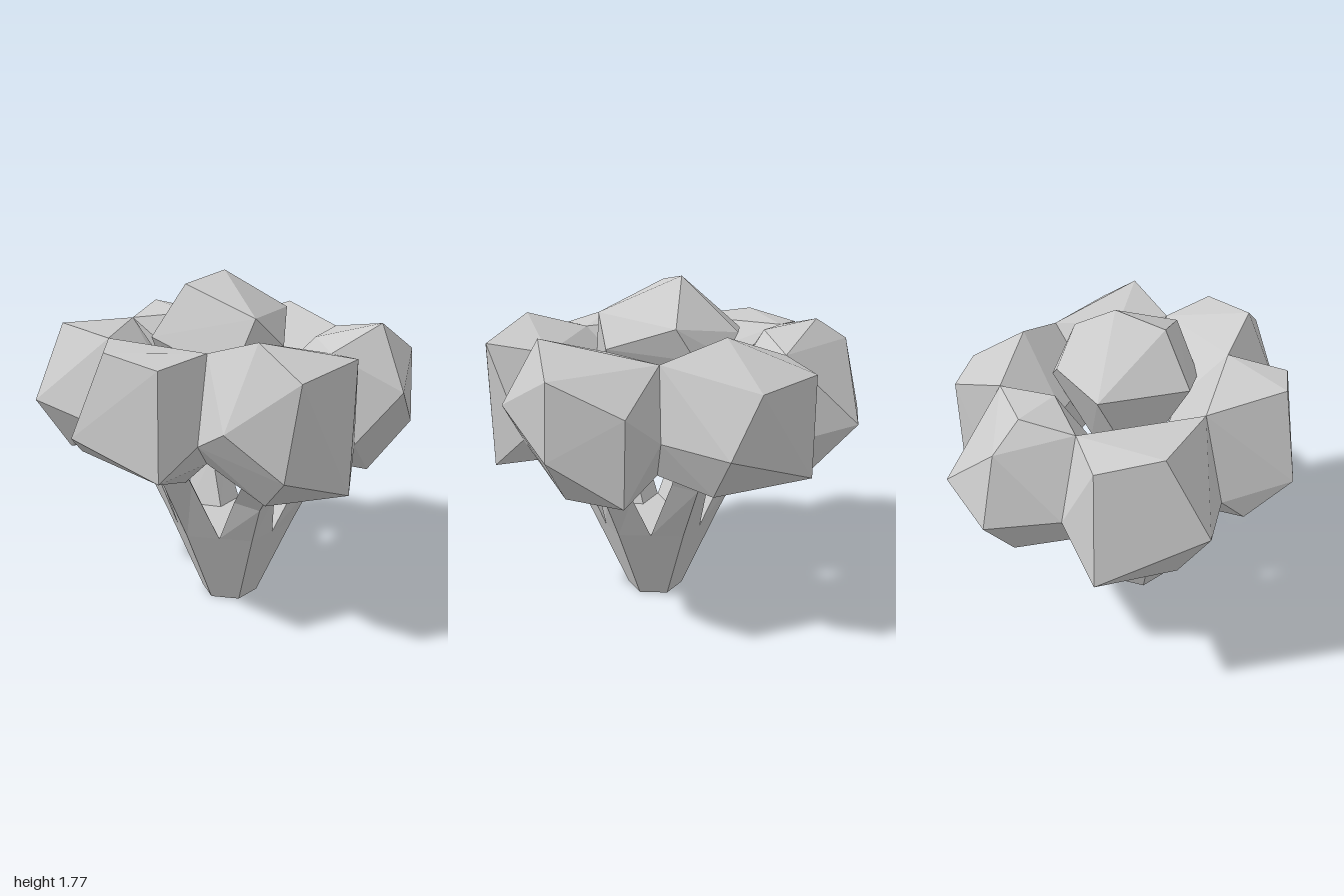
import * as THREE from 'three';
import { ConvexGeometry } from 'three/addons/geometries/ConvexGeometry.js';

const material = new THREE.MeshStandardMaterial({ color: 0xcccccc, flatShading: true });
const V = (x, y, z) => new THREE.Vector3(x, y, z);
const UP = V(0, 1, 0);

function hull(name, points) {
  const mesh = new THREE.Mesh(new ConvexGeometry(points), material);
  mesh.name = name;
  return mesh;
}

// Loft between equal-length rings (counter-clockwise seen from above), closed by fans at both ends
function loft(name, rings) {
  const pos = [];
  const tri = (...pts) => pts.forEach((p) => pos.push(p.x, p.y, p.z));
  const n = rings[0].length;
  for (let k = 0; k < rings.length - 1; k++) {
    for (let i = 0; i < n; i++) {
      const j = (i + 1) % n, a = rings[k], b = rings[k + 1];
      tri(a[i], a[j], b[j]);
      tri(a[i], b[j], b[i]);
    }
  }
  const last = rings[rings.length - 1];
  for (let i = 1; i < n - 1; i++) {
    tri(rings[0][0], rings[0][i + 1], rings[0][i]);
    tri(last[0], last[i], last[i + 1]);
  }
  const geometry = new THREE.BufferGeometry();
  geometry.setAttribute('position', new THREE.Float32BufferAttribute(pos, 3));
  geometry.computeVertexNormals();
  const mesh = new THREE.Mesh(geometry, material);
  mesh.name = name;
  return mesh;
}

// Seams shared by neighbouring florets: top, side and lower point
const seams = [
  [V(0.31, 1.45, 0.46), V(0.40, 1.05, 0.63), V(0.34, 0.92, 0.50)],
  [V(0.70, 1.43, 0), V(0.85, 1.0, 0), V(0.72, 0.88, 0)],
  [V(0.36, 1.45, -0.55), V(0.40, 1.1, -0.64), V(0.36, 0.90, -0.52)],
  [V(-0.34, 1.42, -0.55), V(-0.41, 1.0, -0.64), V(-0.36, 0.88, -0.55)],
  [V(-0.68, 1.45, 0), V(-0.88, 1.1, 0), V(-0.72, 0.88, 0)],
  [V(-0.32, 1.45, 0.51), V(-0.39, 1.02, 0.63), V(-0.33, 0.92, 0.52)],
];

// Outer corners of each floret; floret i lies between seam i - 1 and seam i
const florets = [
  ['frontFloret', [
    V(0, 1.47, 0.83), V(-0.14, 1.05, 0.93), V(0.33, 0.90, 0.82), V(0.30, 1.42, 0.78),
    V(-0.31, 0.90, 0.73), V(0.2, 0.79, 0.5), V(-0.15, 0.84, 0.5)]],
  ['frontLeftFloret', [
    V(0.64, 1.55, 0.49), V(0.60, 1.16, 0.68), V(0.88, 1.40, 0.49), V(0.96, 1.47, 0.18),
    V(0.84, 0.95, 0.55), V(0.66, 0.77, 0.45), V(0.95, 0.82, 0.19)]],
  ['backLeftFloret', [
    V(0.83, 1.56, -0.24), V(1.0, 1.25, -0.18), V(0.88, 1.41, -0.46), V(0.59, 1.25, -0.67),
    V(0.60, 0.82, -0.66), V(0.90, 1.03, -0.46), V(0.75, 0.77, -0.3), V(0.46, 1.45, -0.21)]],
  ['backFloret', [
    V(0.02, 1.55, -0.58), V(0.02, 1.35, -0.90), V(0.20, 1.07, -0.93), V(-0.34, 1.38, -0.81),
    V(-0.34, 0.86, -0.81), V(0.20, 0.85, -0.78), V(0, 0.77, -0.56)]],
  ['backRightFloret', [
    V(-0.74, 1.52, -0.25), V(-0.90, 1.41, -0.31), V(-0.97, 1.03, -0.36), V(-0.70, 1.05, -0.70),
    V(-0.43, 1.48, -0.21), V(-0.80, 0.80, -0.30), V(-0.48, 0.80, -0.60)]],
  ['frontRightFloret', [
    V(-1.0, 0.87, 0.20), V(-0.76, 1.47, 0.45), V(-0.75, 1.08, 0.67), V(-0.90, 1.42, 0.17),
    V(-0.68, 0.79, 0.50), V(-0.42, 0.84, 0.35), V(-0.8, 0.8, 0.15)]],
];

export function createModel() {
  const model = new THREE.Group();

  // Ring of florets; inner corners are pulled in from the seams, and the two side seams gape open
  florets.forEach(([name, corners], i) => {
    const points = [...corners];
    for (const [k, sign] of [[(i + 5) % 6, 1], [i, -1]]) {
      const [top, , low] = seams[k];
      const turn = sign * (k % 3 === 1 ? 0.18 : 0);
      points.push(...seams[k]);
      points.push(V(top.x * 0.53, 1.23, top.z * 0.53).applyAxisAngle(UP, turn));
      points.push(V(low.x * 0.55, 0.97, low.z * 0.55).applyAxisAngle(UP, turn));
    }
    model.add(hull(name, points));
  });

  // Raised floret in the middle
  model.add(hull('centreFloret', [
    V(-0.02, 1.77, -0.05), V(-0.05, 1.72, 0.22), V(0.36, 1.58, 0.16), V(0.17, 1.56, -0.35),
    V(-0.14, 1.46, 0.38), V(-0.22, 1.5, -0.29), V(-0.41, 1.46, 0), V(0.40, 1.42, -0.02),
    V(0.32, 1.3, 0.3), V(0.08, 1.4, -0.39), V(-0.1, 1.4, -0.37),
    V(0.2, 1.0, 0.1), V(-0.2, 1.0, 0.12), V(0, 1.0, -0.2),
  ]));

  // Hexagonal trunk, widening upwards
  const cx = 0.1, cz = 0.045;
  const polar = (angle, radial, lateral, y) => V(
    cx + Math.sin(angle) * radial + Math.cos(angle) * lateral, y,
    cz + Math.cos(angle) * radial - Math.sin(angle) * lateral);
  const hexagon = (r, y) => [0, 1, 2, 3, 4, 5].map((i) => polar(i * Math.PI / 3, r, 0, y));
  model.add(loft('trunk', [hexagon(0.155, 0), hexagon(0.345, 0.43)]));

  // One branch from each trunk corner, bending towards its floret
  for (let i = 0; i < 6; i++) {
    const angle = i * Math.PI / 3;
    // Front and back branches run straighter and bend higher up
    const straight = i % 3 === 0;
    const [radius, height, reach] = straight ? [0.425, 0.77, 0.53] : [0.37, 0.67, 0.65];
    const section = (r, y) => [
      polar(angle, r + 0.075, 0, y - 0.03), polar(angle, r, 0.11, y),
      polar(angle, r - 0.07, 0, y + 0.03), polar(angle, r, -0.11, y)];
    const base = [
      polar(angle, 0.345, 0, 0.43), polar(angle, 0.259, 0.149, 0.43),
      polar(angle, 0.15, 0, 0.43), polar(angle, 0.259, -0.149, 0.43)];
    model.add(loft('branch' + (i + 1), [base, section(radius, height), section(reach, 0.98)]));
  }

  return model;
}
